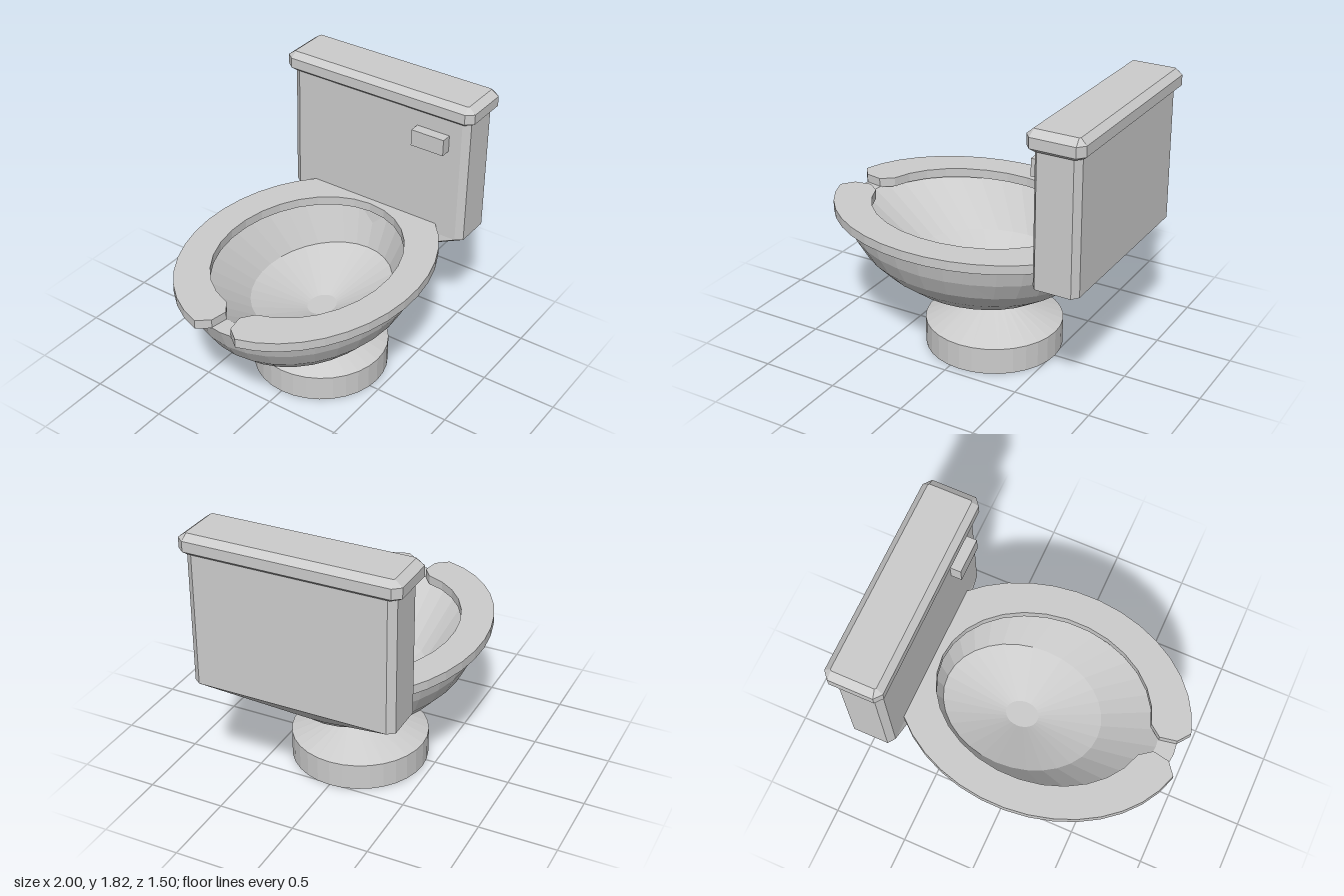
import * as THREE from 'three';

const material = new THREE.MeshStandardMaterial({ color: 0xcccccc, flatShading: true });

function addMesh(group, name, geometry) {
  const mesh = new THREE.Mesh(geometry, material);
  mesh.name = name;
  group.add(mesh);
  return mesh;
}

// Ellipse ring, counter-clockwise seen from above
function ellipse(y, cx, rx, rz, n = 32) {
  return Array.from({ length: n }, (_, i) => {
    const t = (i / n) * Math.PI * 2;
    return [cx + rx * Math.cos(t), y, -rz * Math.sin(t)];
  });
}

// Rectangle ring with cut corners, counter-clockwise seen from above
function cutRect(y, x0, x1, z0, z1, cx, cz) {
  return [
    [x1, y, z0 + cz], [x1 - cx, y, z0], [x0 + cx, y, z0], [x0, y, z0 + cz],
    [x0, y, z1 - cz], [x0 + cx, y, z1], [x1 - cx, y, z1], [x1, y, z1 - cz],
  ];
}

// Skin over a stack of rings, closed at both ends
function loft(rings) {
  const pos = [];
  const tri = (...points) => points.forEach((p) => pos.push(...p));
  const n = rings[0].length;
  const middle = (ring) => [0, 1, 2].map((k) => ring.reduce((s, p) => s + p[k], 0) / n);
  const first = rings[0], last = rings[rings.length - 1];
  const c0 = middle(first), c1 = middle(last);
  for (let i = 0; i < n; i++) {
    const j = (i + 1) % n;
    for (let r = 0; r < rings.length - 1; r++) {
      const a = rings[r], b = rings[r + 1];
      tri(a[i], a[j], b[i]);
      tri(a[j], b[j], b[i]);
    }
    tri(c0, first[j], first[i]);
    tri(c1, last[i], last[j]);
  }
  const geometry = new THREE.BufferGeometry();
  geometry.setAttribute('position', new THREE.Float32BufferAttribute(pos, 3));
  geometry.computeVertexNormals();
  return geometry;
}

// Flat seat ring, open at the front and cut straight at the tank
function seatGeometry() {
  const cx = -0.07, gap = Math.PI - 0.2, steps = 14;
  const cut = Math.acos((0.68 - cx) / 0.95);
  const half = [];
  for (let i = 0; i <= steps; i++) {
    const t = cut + ((gap - cut) * i) / steps;
    half.push([cx + 0.95 * Math.cos(t), 0.75 * Math.sin(t)]);
  }
  half.push([-0.94, 0.07], [-0.83, 0.05]);
  for (let i = 0; i <= steps; i++) {
    const t = gap * (1 - i / steps);
    half.push([cx + 0.695 * Math.cos(t), 0.55 * Math.sin(t)]);
  }
  const mirrored = half.slice(0, -1).reverse().map(([x, y]) => [x, -y]);
  const shape = new THREE.Shape([...half, ...mirrored].map(([x, y]) => new THREE.Vector2(x, y)));
  return new THREE.ExtrudeGeometry(shape, { depth: 0.06, bevelEnabled: false })
    .rotateX(-Math.PI / 2)
    .translate(0, 0.85, 0);
}

export function createModel() {
  const group = new THREE.Group();
  group.name = 'toilet';

  // Round foot tapering into an oval neck
  addMesh(group, 'base', loft([
    ellipse(0, 0.07, 0.443, 0.443),
    ellipse(0.175, 0.07, 0.443, 0.443),
    ellipse(0.302, 0.065, 0.175, 0.135),
  ]));

  // Bowl: up the outside, over the rim, down the inside to the drain
  addMesh(group, 'bowl', loft([
    ellipse(0.3, 0.065, 0.175, 0.135),
    ellipse(0.34, -0.07, 0.34, 0.25),
    ellipse(0.4, -0.07, 0.49, 0.39),
    ellipse(0.49, -0.07, 0.635, 0.5),
    ellipse(0.6, -0.07, 0.75, 0.6),
    ellipse(0.72, -0.07, 0.83, 0.66),
    ellipse(0.855, -0.07, 0.88, 0.695),
    ellipse(0.855, -0.07, 0.76, 0.59),
    ellipse(0.57, 0.08, 0.53, 0.415),
    ellipse(0.42, 0.08, 0.11, 0.087),
  ]));

  addMesh(group, 'seat', seatGeometry());

  // Tank with a funnel-shaped underside running into the bowl
  addMesh(group, 'tank', loft([
    cutRect(0.58, 0.635, 0.67, -0.07, 0.07, 0.01, 0.02),
    cutRect(0.84, 0.672, 0.97, -0.645, 0.66, 0.033, 0.045),
    cutRect(1.7, 0.672, 0.965, -0.645, 0.66, 0.033, 0.045),
  ]));

  // Lid with bevelled edges
  addMesh(group, 'tankLid', loft([
    cutRect(1.69, 0.66, 0.975, -0.66, 0.67, 0.035, 0.04),
    cutRect(1.712, 0.635, 1.0, -0.685, 0.695, 0.04, 0.048),
    cutRect(1.778, 0.635, 1.0, -0.685, 0.695, 0.04, 0.048),
    cutRect(1.815, 0.675, 0.96, -0.637, 0.647, 0.008, 0.008),
  ]));

  addMesh(group, 'flushHandle', new THREE.BoxGeometry(0.08, 0.11, 0.23))
    .position.set(0.642, 1.525, 0.415);

  return group;
}
